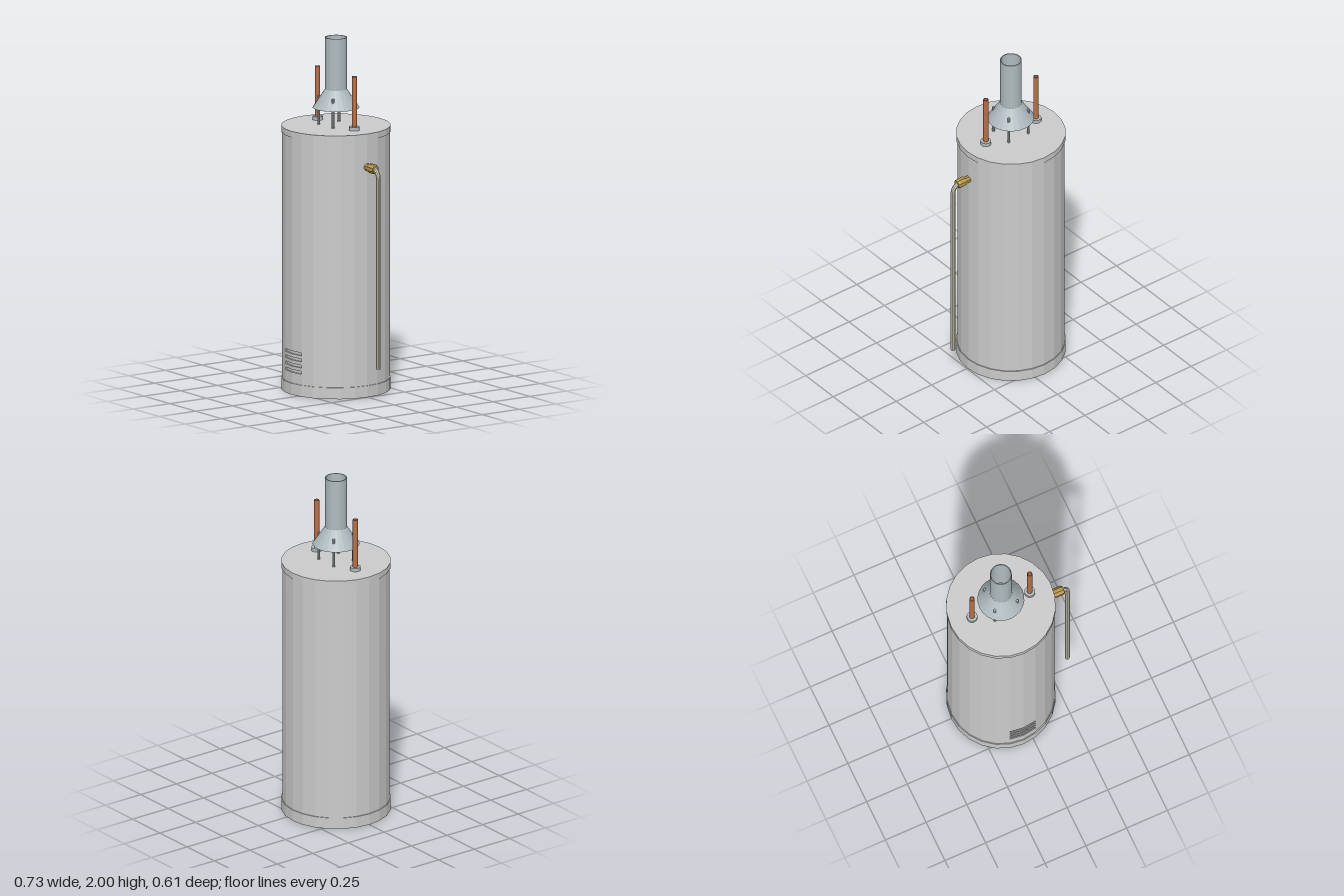
import * as THREE from 'three';

const SIDES = 24;
const AXIS_X = -0.06; // tank and flue axis
const BODY_R = 0.301;
const RIM_R = 0.306;
const HEIGHT = 1.5;

const paint = (color) => new THREE.MeshStandardMaterial({ color, flatShading: true, side: THREE.DoubleSide });
const steel = paint(0xcccccc);
const zinc = paint(0xb0bcc0);
const copper = paint(0xb87048);
const brass = paint(0xb5964a);
const plastic = paint(0xd6d2bd);

function add(parent, name, geometry, material, x = 0, y = 0, z = 0) {
  const mesh = new THREE.Mesh(geometry, material);
  mesh.name = name;
  mesh.position.set(x, y, z);
  parent.add(mesh);
  return mesh;
}

// Revolve a profile of [radius, y] pairs
function revolve(profile, sides = SIDES, start = 0, length = Math.PI * 2) {
  return new THREE.LatheGeometry(profile.map(([r, y]) => new THREE.Vector2(r, y)), sides, start, length);
}

// Hollow pipe with open bore
const pipe = (outer, inner, y0, y1, sides) =>
  revolve([[inner, y0], [outer, y0], [outer, y1], [inner, y1], [inner, y0]], sides);

function buildTank() {
  const tank = new THREE.Group();
  tank.name = 'tank';

  // Rims with end plates
  add(tank, 'bottomRim', revolve([[0, 0], [RIM_R, 0], [RIM_R, 0.065], [BODY_R, 0.065]]), steel);
  add(tank, 'topRim', revolve([[BODY_R, 1.465], [RIM_R, 1.465], [RIM_R, HEIGHT], [0, HEIGHT]]), steel);

  // Wall, interrupted by four vent slots two facets wide at the front
  const half = Math.PI / 12;
  const slotH = 0.016;
  const depth = 0.01;
  let y = 0.065;
  for (let i = 0; i < 4; i++) {
    const y0 = 0.127 + i * 0.035;
    const y1 = y0 + slotH;
    add(tank, 'wallBand', revolve([[BODY_R, y], [BODY_R, y0]]), steel);
    add(tank, 'slotBand', revolve([[BODY_R, y0], [BODY_R, y1]], SIDES - 2, half, Math.PI * 2 - 2 * half), steel);
    const inner = BODY_R - depth;
    add(tank, 'ventSlot', revolve([[BODY_R, y0], [inner, y0], [inner, y1], [BODY_R, y1]], 2, -half, 2 * half), steel);
    for (const s of [-1, 1]) {
      const r = BODY_R - depth / 2;
      const end = add(tank, 'ventSlotEnd', new THREE.PlaneGeometry(depth, slotH), steel,
        s * r * Math.sin(half), (y0 + y1) / 2, r * Math.cos(half));
      end.rotation.y = s * half - Math.PI / 2;
    }
    y = y1;
  }
  add(tank, 'wall', revolve([[BODY_R, y], [BODY_R, 1.465]]), steel);
  return tank;
}

function buildFlue() {
  const flue = new THREE.Group();
  flue.name = 'flue';
  // Stack and flared draft hood, open from end to end
  add(flue, 'stackAndHood', revolve([
    [0.131, 1.6], [0.061, 1.705], [0.061, 2], [0.056, 2], [0.056, 1.703], [0.126, 1.6], [0.131, 1.6],
  ]), zinc);
  for (const sx of [-1, 1]) {
    for (const sz of [-1, 1]) {
      add(flue, 'hoodLeg', new THREE.CylinderGeometry(0.0075, 0.0075, 0.165, 10), zinc,
        sx * 0.069, HEIGHT + 0.0825, sz * 0.069);
    }
  }
  return flue;
}

function buildWaterPipe(side) {
  const group = new THREE.Group();
  group.name = 'waterPipe';
  add(group, 'collar', pipe(0.03, 0.0145, HEIGHT, 1.52, SIDES), zinc);
  add(group, 'copperPipe', pipe(0.0145, 0.011, HEIGHT, 1.805, 16), copper);
  group.position.x = side * 0.177;
  return group;
}

function buildReliefValve() {
  const valve = new THREE.Group();
  valve.name = 'reliefValve';
  const y = 1.31;

  // Brass fitting: eight-sided stub and chamfered nut lying along x
  const fitting = new THREE.Group();
  fitting.name = 'fitting';
  const stub = revolve([[0, 0.225], [0.021, 0.225], [0.021, 0.27], [0, 0.27]], 8, Math.PI / 8);
  const nut = revolve([
    [0, 0.264], [0.022, 0.264], [0.0275, 0.273], [0.0275, 0.313], [0.022, 0.323], [0, 0.323],
  ], 8, Math.PI / 8);
  add(fitting, 'stub', stub, brass);
  add(fitting, 'nut', nut, brass);
  fitting.rotation.z = -Math.PI / 2;
  fitting.position.y = y;
  valve.add(fitting);

  // Discharge tube: quarter bend, then a straight drop
  const bend = 0.045;
  const r = 0.0138;
  const cx = 0.303;
  const bottom = 0.178;
  const top = y - bend;
  add(valve, 'dischargeBend', new THREE.TorusGeometry(bend, r, 10, 6, Math.PI / 2), plastic, cx, top, 0);
  add(valve, 'dischargeTube', new THREE.CylinderGeometry(r, r, top - bottom, 10), plastic,
    cx + bend, (top + bottom) / 2, 0).rotation.y = Math.PI / 2;
  return valve;
}

export function createModel() {
  const model = new THREE.Group();
  model.name = 'waterHeater';
  const heater = new THREE.Group();
  heater.name = 'heater';
  heater.position.x = AXIS_X;
  heater.add(buildTank(), buildFlue(), buildWaterPipe(-1), buildWaterPipe(1));
  model.add(heater, buildReliefValve());
  return model;
}
